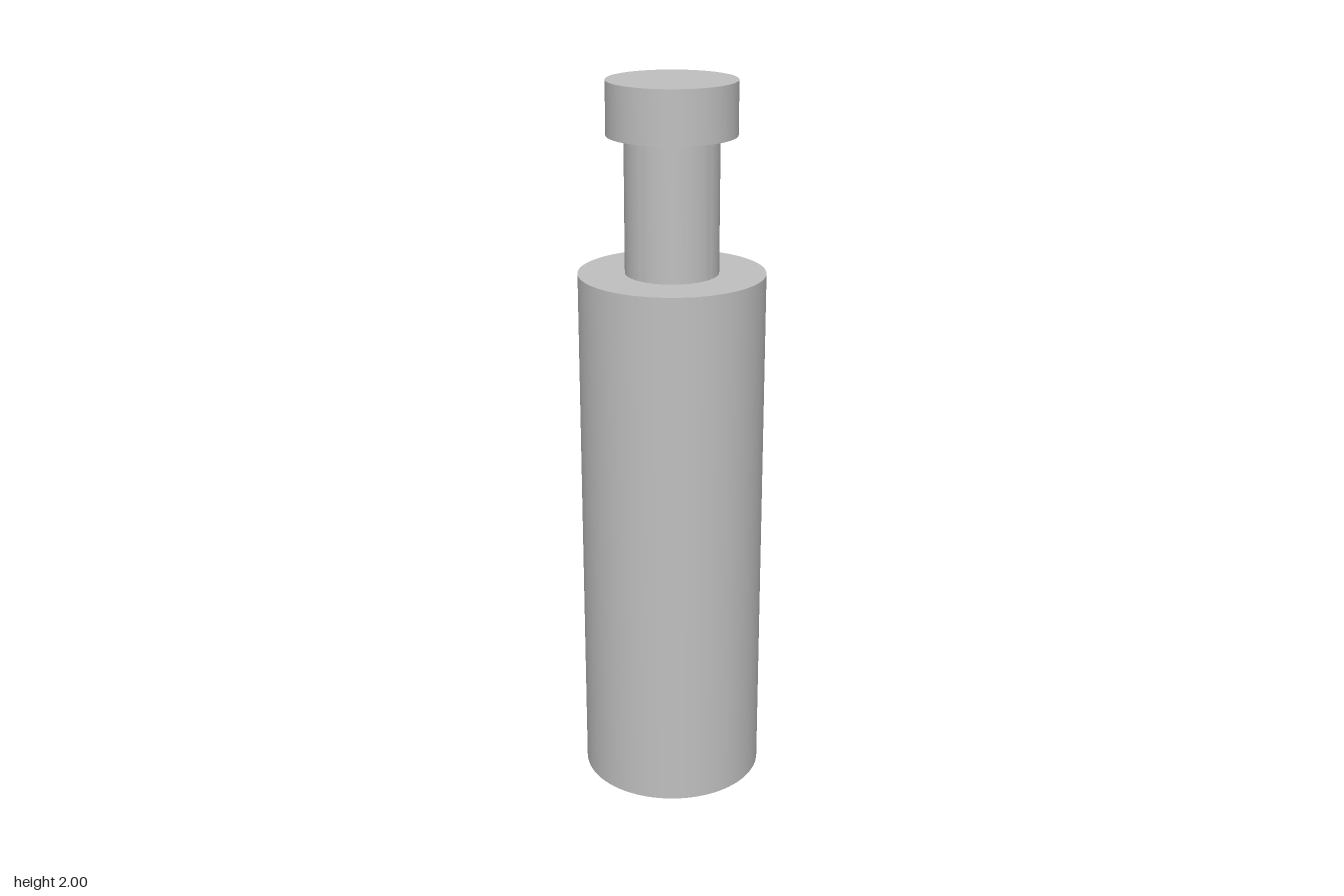
import * as THREE from 'three';
import { toCreasedNormals } from 'three/addons/utils/BufferGeometryUtils.js';

const SIDES = 96;

// Revolves [radius, height] pairs, keeping the rims sharp
function turned(name, profile, material) {
  const points = profile.map(([r, y]) => new THREE.Vector2(r, y));
  const geometry = toCreasedNormals(new THREE.LatheGeometry(points, SIDES), 0.6);
  const mesh = new THREE.Mesh(geometry, material);
  mesh.name = name;
  return mesh;
}

export function createModel() {
  const group = new THREE.Group();
  group.name = 'plungerPin';
  const metal = new THREE.MeshStandardMaterial({ color: 0xbfbfbf });
  metal.name = 'plain grey';

  // Hollow sleeve, open at the bottom and closed by the shoulder
  group.add(turned('sleeve', [
    [0, 1.44], [0.216, 1.44], [0.216, 0], [0.254, 0], [0.254, 1.488], [0, 1.488],
  ], metal));

  // Narrow neck rising from the shoulder
  group.add(turned('neck', [[0.127, 1.488], [0.127, 1.857]], metal));

  // Wider solid head
  group.add(turned('head', [
    [0, 1.857], [0.174, 1.857], [0.174, 2], [0, 2],
  ], metal));

  return group;
}
